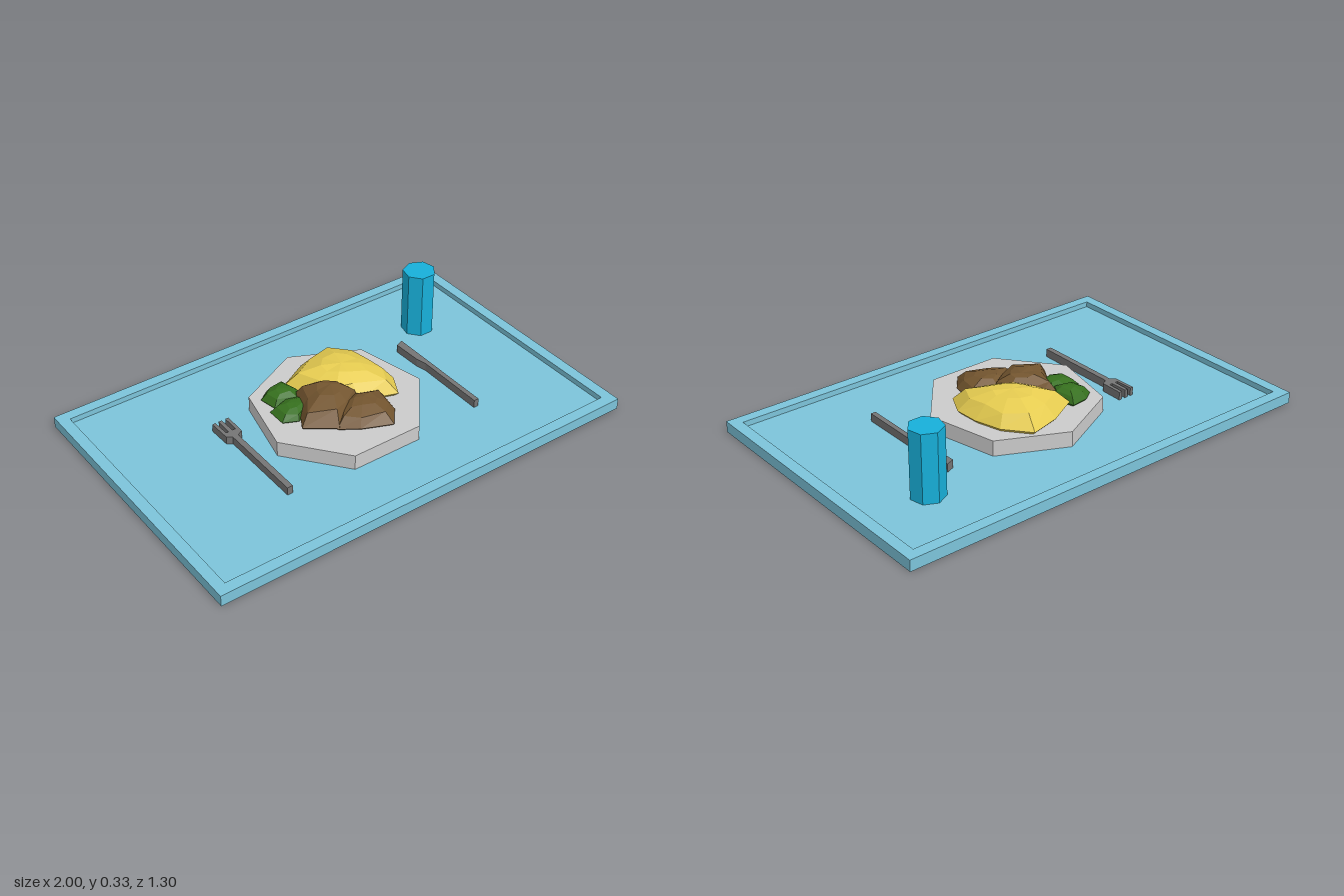
import * as THREE from 'three';

const mat = (color) => new THREE.MeshStandardMaterial({ color, flatShading: true, side: THREE.DoubleSide });
const FLOOR = 0.025, PLATE_TOP = 0.095;

// Outline given as [x, z] pairs, extruded upwards from y
function slab(points, y, height, material, name, hole) {
  const toVec = ([x, z]) => new THREE.Vector2(x, -z);
  const shape = new THREE.Shape(points.map(toVec));
  if (hole) shape.holes.push(new THREE.Path(hole.map(toVec)));
  const geo = new THREE.ExtrudeGeometry(shape, { depth: height, bevelEnabled: false });
  geo.rotateX(-Math.PI / 2).translate(0, y, 0);
  const mesh = new THREE.Mesh(geo, material);
  mesh.name = name;
  return mesh;
}

// Seven-sided prism with a corner towards the back
function prism(radius, y0, y1, x, z, material, name) {
  const mesh = new THREE.Mesh(new THREE.CylinderGeometry(radius, radius, y1 - y0, 7), material);
  mesh.rotation.y = Math.PI;
  mesh.position.set(x, (y0 + y1) / 2, z);
  mesh.name = name;
  return mesh;
}

// Faceted heap: the footprint shrinks ring by ring towards a peak [x, y, z]
function heap(outline, [px, py, pz], material, name) {
  const rings = [[0.93, 0], [1, 0.14], [0.76, 0.68], [0.4, 0.94], [0, 1]];
  const n = outline.length, pos = [], index = [];
  rings.forEach(([s, h], r) => outline.forEach(([x, z], i) => {
    const wobble = r === 2 || r === 3 ? 0.05 * Math.sin(i * 2.4 + r * 1.7) : 0;
    pos.push(
      px + (x - px) * (s + wobble),
      PLATE_TOP + (py - PLATE_TOP) * (h - wobble * 0.7),
      pz + (z - pz) * (s + wobble));
  }));
  for (let r = 0; r < rings.length - 1; r++) {
    for (let i = 0; i < n; i++) {
      const a = r * n + i, b = r * n + (i + 1) % n;
      index.push(a, b, b + n);
      if (r < rings.length - 2) index.push(a, b + n, a + n);
      else index.splice(-3, 3, a, b, a + n);
    }
  }
  const geo = new THREE.BufferGeometry();
  geo.setAttribute('position', new THREE.Float32BufferAttribute(pos, 3));
  geo.setIndex(index);
  geo.computeVertexNormals();
  const mesh = new THREE.Mesh(geo, material);
  mesh.name = name;
  return mesh;
}

const rect = (w, d) => [[-w, d], [w, d], [w, -d], [-w, -d]];

export function createModel() {
  const model = new THREE.Group();
  model.name = 'mealTray';
  const blue = mat(0x7cc4da), cupBlue = mat(0x17b0da), steel = mat(0x757575);
  const yellow = mat(0xe6cc50), brown = mat(0x73552f), green = mat(0x36701e);

  // Tray with raised rim
  const tray = new THREE.Group();
  tray.name = 'tray';
  tray.add(
    slab(rect(1, 0.65), 0, FLOOR, blue, 'trayBase'),
    slab(rect(1, 0.65), FLOOR, 0.025, blue, 'trayRim', rect(0.95, 0.6)));
  model.add(tray);

  // Plate and cup
  model.add(
    prism(0.378, FLOOR, PLATE_TOP, 0, 0, mat(0xcccccc), 'plate'),
    prism(0.074, FLOOR, 0.33, 0.67, -0.307, cupBlue, 'cup'));

  // Fork with three tines
  const fork = [
    [-0.473, 0.31], [-0.447, 0.31], [-0.447, -0.085], [-0.42, -0.1], [-0.418, -0.205],
    [-0.433, -0.205], [-0.435, -0.125], [-0.449, -0.125], [-0.451, -0.205], [-0.466, -0.205],
    [-0.468, -0.125], [-0.48, -0.125], [-0.482, -0.205], [-0.497, -0.205], [-0.495, -0.1], [-0.473, -0.085],
  ];
  model.add(slab(fork, FLOOR, 0.037, steel, 'fork'));

  // Knife
  const knife = [[0.487, 0.31], [0.51, 0.31], [0.51, -0.22], [0.473, -0.205], [0.477, -0.07], [0.488, -0.02]];
  model.add(slab(knife, FLOOR, 0.037, steel, 'knife'));

  // Mashed potato
  model.add(heap([
    [-0.14, -0.2], [-0.09, -0.08], [-0.03, 0.02], [0.05, 0.07], [0.22, 0.13], [0.27, 0.03],
    [0.265, -0.08], [0.23, -0.2], [0.14, -0.31], [0.0, -0.275],
  ], [0.08, 0.2, -0.09], yellow, 'mashedPotato'));

  // Two pieces of meat
  model.add(
    heap([
      [-0.15, -0.12], [-0.19, -0.01], [-0.245, 0.085], [-0.12, 0.175], [-0.03, 0.13],
      [0.065, 0.07], [0.04, -0.02], [-0.05, -0.1],
    ], [-0.04, 0.197, 0.0], brown, 'meatLarge'),
    heap([
      [-0.05, 0.07], [-0.13, 0.17], [-0.05, 0.225], [0.08, 0.28], [0.145, 0.2], [0.165, 0.09], [0.04, 0.04],
    ], [0.04, 0.168, 0.12], brown, 'meatSmall'));

  // Two pieces of greens
  model.add(
    heap([
      [-0.27, -0.18], [-0.255, -0.1], [-0.15, -0.07], [-0.11, -0.12], [-0.14, -0.225], [-0.22, -0.215],
    ], [-0.18, 0.15, -0.14], green, 'greensBack'),
    heap([
      [-0.285, -0.09], [-0.285, 0.0], [-0.22, 0.03], [-0.14, 0.0], [-0.12, -0.09], [-0.2, -0.115],
    ], [-0.19, 0.142, -0.04], green, 'greensFront'));

  return model;
}
